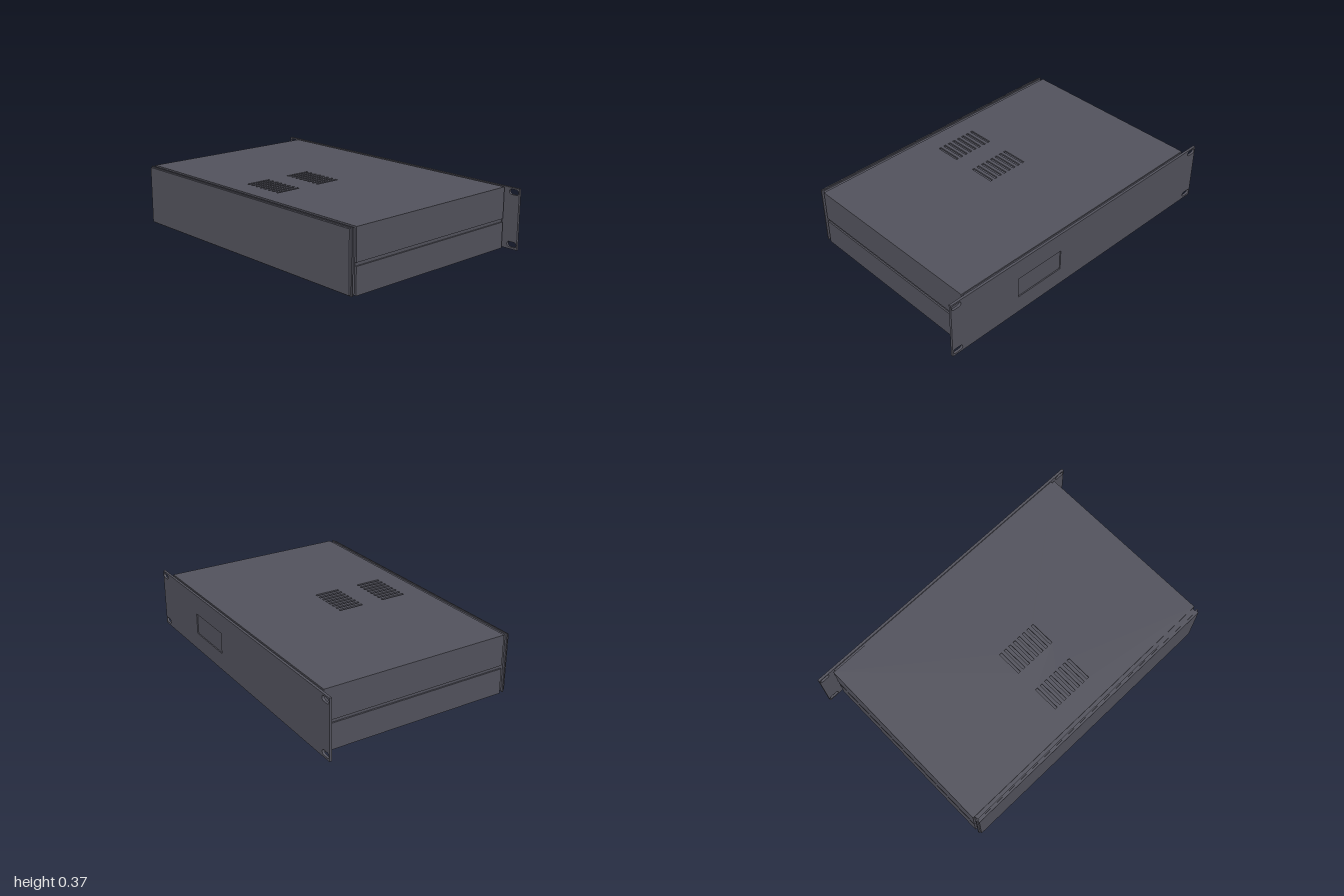
import * as THREE from 'three';

const metal = new THREE.MeshStandardMaterial({ color: 0x52525c });
metal.name = 'slate grey metal';

// Box given by its minimum and maximum corners
function box(name, [x0, y0, z0], [x1, y1, z1]) {
  const mesh = new THREE.Mesh(new THREE.BoxGeometry(x1 - x0, y1 - y0, z1 - z0), metal);
  mesh.position.set((x0 + x1) / 2, (y0 + y1) / 2, (z0 + z1) / 2);
  mesh.name = name;
  return mesh;
}

function rect(x0, y0, x1, y1) {
  return new THREE.Shape([[x0, y0], [x1, y0], [x1, y1], [x0, y1]].map(p => new THREE.Vector2(...p)));
}

// Horizontal slot with round ends
function roundSlot(cx, cy, length, width) {
  const r = width / 2, d = length / 2 - r;
  const p = new THREE.Path();
  p.absarc(cx + d, cy, r, -Math.PI / 2, Math.PI / 2, false);
  p.absarc(cx - d, cy, r, Math.PI / 2, Math.PI * 1.5, false);
  p.closePath();
  return p;
}

function plate(name, shape, depth) {
  const geometry = new THREE.ExtrudeGeometry(shape, { depth, bevelEnabled: false, curveSegments: 8 });
  const mesh = new THREE.Mesh(geometry, metal);
  mesh.name = name;
  return mesh;
}

export function createModel() {
  const model = new THREE.Group();
  model.name = 'rackCase';
  const zBack = -0.597, zFront = 0.583;

  // Top cover with two groups of vent slots
  const lid = rect(-0.9, -zFront, 0.9, -zBack);
  for (const z of [0.075, 0.375]) {
    for (let i = 0; i < 8; i++) {
      const x = (i - 3.5) * 0.037;
      lid.holes.push(rect(x - 0.008, -z - 0.08, x + 0.008, -z + 0.08));
    }
  }
  const topCover = plate('topCover', lid, 0.01);
  topCover.rotation.x = -Math.PI / 2;
  topCover.position.y = 0.358;
  model.add(topCover);

  // Bottom tray
  model.add(box('bottomTray', [-0.9, 0, zBack], [0.9, 0.01, zFront]));

  // Side walls, split by a recessed seam
  for (const s of [-1, 1]) {
    const x0 = s < 0 ? -0.904 : 0.892, x1 = x0 + 0.012;
    const inner = s < 0 ? -0.895 : 0.885;
    model.add(
      box('upperSide', [x0, 0.178, zBack], [x1, 0.368, zFront]),
      box('lowerSide', [x0, 0, zBack], [x1, 0.158, zFront]),
      box('sideSeam', [inner, 0.15, zBack], [inner + 0.01, 0.186, zFront])
    );
  }

  // Inset end sheets that leave a thin groove around the shell
  model.add(
    box('frontSheet', [-0.89, 0.008, 0.57], [0.89, 0.36, 0.606]),
    box('backSheet', [-0.89, 0.008, -0.611], [0.89, 0.36, -0.585])
  );

  // Front flange and front cover plate
  model.add(
    box('frontFlange', [-0.904, 0.002, 0.604], [0.904, 0.368, 0.612]),
    box('frontPanel', [-0.895, 0.01, 0.612], [0.895, 0.362, 0.625])
  );

  // Rack panel with mounting slots and a display opening
  const face = rect(-1, 0.004, 1, 0.37);
  for (const x of [-0.963, 0.963]) {
    for (const y of [0.032, 0.345]) face.holes.push(roundSlot(x, y, 0.065, 0.032));
  }
  face.holes.push(rect(0.19, 0.114, 0.52, 0.246));
  const rackPanel = plate('rackPanel', face, 0.015);
  rackPanel.position.z = -0.625;
  model.add(rackPanel);

  // Display plate sits just below the panel face
  model.add(box('displayPlate', [0.19, 0.114, -0.618], [0.52, 0.246, -0.611]));

  return model;
}
